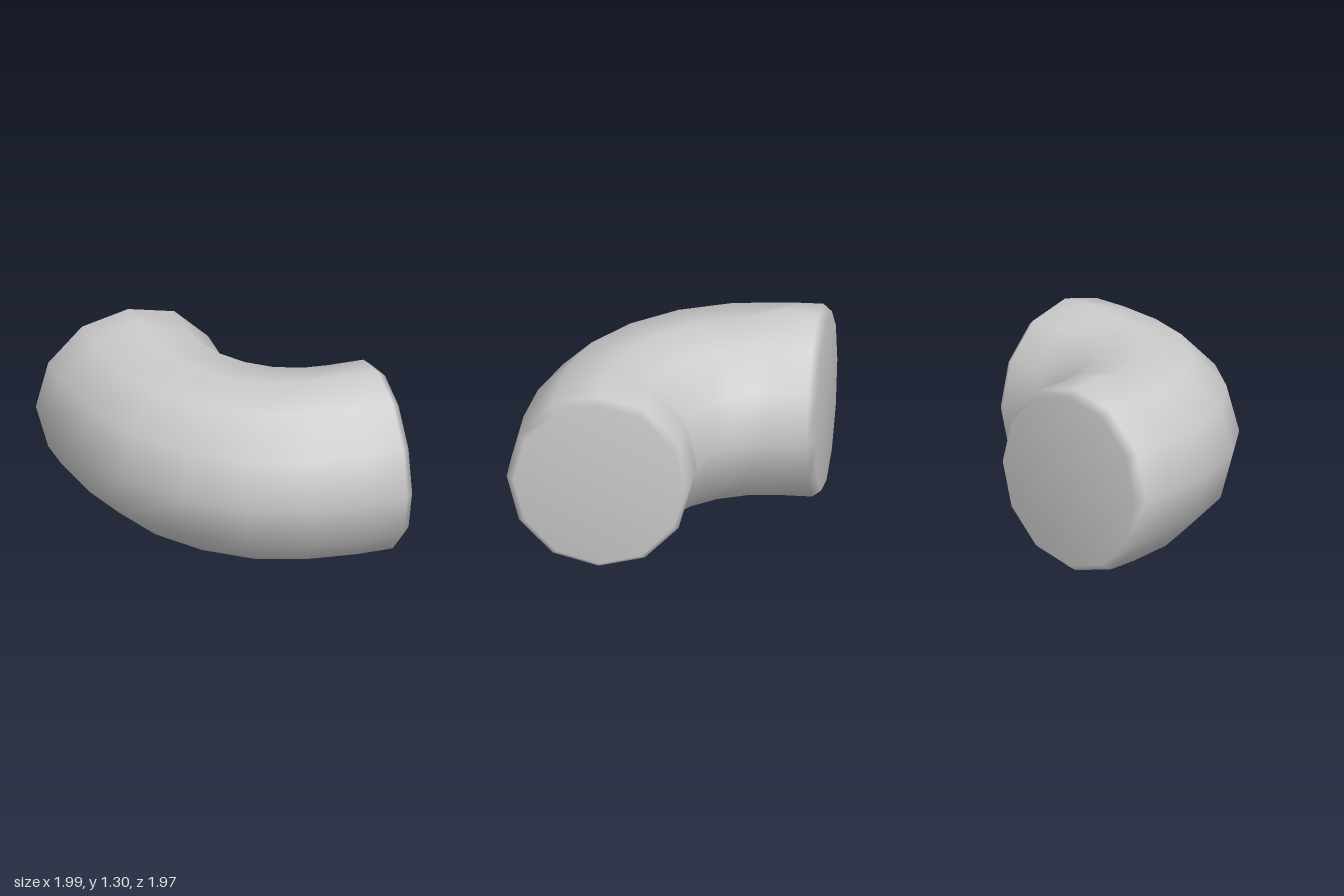
import * as THREE from 'three';

const SIDES = 12;
const MID = 0.64; // height of the pipe axis

// Cross-sections along the bend: inner x, z, outer x, z, top height, bottom height
const RINGS = [
  [0.99, -0.20, 0.99, 0.93, 1.225, 0.05],
  [0.94, -0.24, 0.94, 0.98, 1.265, 0.01],
  [0.70, -0.247, 0.69, 0.98, 1.285, 0],
  [0.64, -0.252, 0.28, 0.925, 1.262, 0],
  [0.51, -0.30, -0.12, 0.795, 1.25, 0],
  [0.41, -0.38, -0.48, 0.525, 1.243, 0],
  [0.345, -0.47, -0.76, 0.165, 1.24, 0],
  [0.295, -0.59, -0.925, -0.25, 1.245, 0],
  [0.28, -0.70, -0.99, -0.70, 1.30, 0],
  [0.28, -0.93, -1.00, -0.93, 1.265, 0.01],
  [0.24, -0.985, -0.95, -0.99, 1.225, 0.05],
];

function elbowGeometry() {
  const pos = [], index = [];
  RINGS.forEach(([ix, iz, ox, oz, top, bottom], r) => {
    // The end rims are slightly smaller; along the bend only the ridge height varies
    const half = r === 0 || r === RINGS.length - 1 ? 0.59 : 0.635;
    for (let j = 0; j < SIDES; j++) {
      const a = (j / SIDES) * Math.PI * 2;
      const t = (1 + Math.cos(a)) / 2;
      let y = MID + half * Math.sin(a);
      if (j === SIDES / 4) y = top;
      if (j === (3 * SIDES) / 4) y = bottom;
      pos.push(ix + (ox - ix) * t, y, iz + (oz - iz) * t);
    }
  });

  // Pipe wall
  for (let r = 0; r < RINGS.length - 1; r++) {
    for (let j = 0; j < SIDES; j++) {
      const a = r * SIDES + j, b = r * SIDES + ((j + 1) % SIDES);
      index.push(a, b, a + SIDES, b, b + SIDES, a + SIDES);
    }
  }

  // Closed ends, sharing the rim vertices so the bevel shades softly
  const cap = (r, flip) => {
    const [ix, iz, ox, oz] = RINGS[r];
    const c = pos.length / 3;
    pos.push((ix + ox) / 2, MID, (iz + oz) / 2);
    for (let j = 0; j < SIDES; j++) {
      const a = r * SIDES + j, b = r * SIDES + ((j + 1) % SIDES);
      if (flip) index.push(c, b, a);
      else index.push(c, a, b);
    }
  };
  cap(0, true);
  cap(RINGS.length - 1, false);

  const geo = new THREE.BufferGeometry();
  geo.setAttribute('position', new THREE.Float32BufferAttribute(pos, 3));
  geo.setIndex(index);
  geo.computeVertexNormals();
  return geo;
}

export function createModel() {
  const group = new THREE.Group();
  group.name = 'pipeElbow';
  const elbow = new THREE.Mesh(elbowGeometry(), new THREE.MeshStandardMaterial({ color: 0xcccccc }));
  elbow.name = 'elbow';
  group.add(elbow);
  return group;
}
